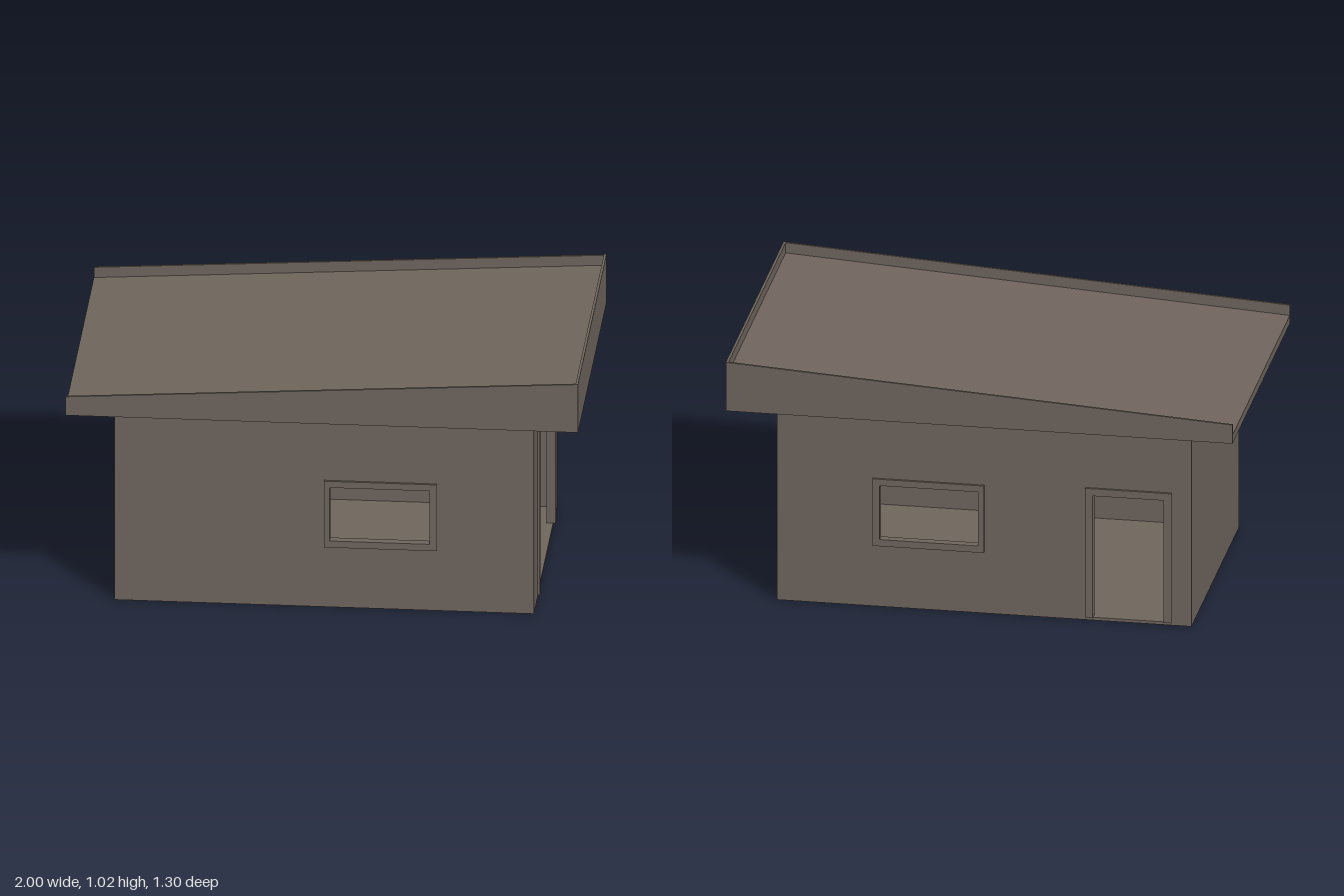
import * as THREE from 'three';

const T = 0.025;            // wall thickness
const X = 0.818, Z = 0.532; // half size of the walls
const H = 0.822;            // wall height
const LIP = 0.01;           // how far frames stand out from the walls

const taupe = new THREE.MeshStandardMaterial({ color: 0x70665e });
taupe.name = 'taupe';

const rect = (x0, y0, x1, y1) => [[x0, y0], [x1, y0], [x1, y1], [x0, y1]];
const poly = (pts, Kind = THREE.Shape) => new Kind(pts.map(p => new THREE.Vector2(...p)));

// Flat panel of the given outline, with holes, spanning z0..z0+depth
function slab(name, pts, holes, depth, z0) {
  const shape = poly(pts);
  holes.forEach(h => shape.holes.push(poly(h, THREE.Path)));
  const geo = new THREE.ExtrudeGeometry(shape, { depth, bevelEnabled: false });
  geo.translate(0, 0, z0);
  const mesh = new THREE.Mesh(geo, taupe);
  mesh.name = name;
  return mesh;
}

// Same, but standing across x: the outline is drawn in (-z, y), depth runs along x
function sideSlab(name, pts, holes, depth, x0) {
  const mesh = slab(name, pts, holes, depth, x0);
  mesh.geometry.rotateY(Math.PI / 2);
  return mesh;
}

function box(name, x0, y0, z0, x1, y1, z1) {
  const geo = new THREE.BoxGeometry(x1 - x0, y1 - y0, z1 - z0);
  geo.translate((x0 + x1) / 2, (y0 + y1) / 2, (z0 + z1) / 2);
  const mesh = new THREE.Mesh(geo, taupe);
  mesh.name = name;
  return mesh;
}

// Door surround without a sill: outer rectangle with posts and a head
const surround = (x0, y0, x1, y1, post, head) => [
  [x0, y0], [x0 + post, y0], [x0 + post, y1 - head], [x1 - post, y1 - head],
  [x1 - post, y0], [x1, y0], [x1, y1], [x0, y1],
];

export function createModel() {
  const group = new THREE.Group();
  group.name = 'garage';

  const windowOuter = rect(0, 0.255, 0.44, 0.535);
  const windowInner = rect(0.022, 0.283, 0.412, 0.508);
  const doorOuter = [-0.74, 0.012, -0.40, 0.553];
  const gateOuter = [-0.372, 0.012, 0.368, 0.808];

  // Floor and walls
  group.add(box('floor', -X + T, 0, -Z + T, X - T, 0.01, Z - T));
  const longWall = rect(-X, 0, X, H);
  group.add(slab('frontWall', longWall, [windowOuter], T, Z - T));
  group.add(slab('backWall', longWall, [windowOuter, rect(...doorOuter)], T, -Z));
  const endWall = rect(-Z + T, 0, Z - T, H);
  group.add(sideSlab('gateWall', endWall, [rect(...gateOuter)], T, X - T));
  group.add(sideSlab('plainWall', endWall, [], T, -X));

  // Frames run through the walls and stand out a little
  const frameDepth = T + LIP;
  group.add(slab('frontWindowFrame', windowOuter, [windowInner], frameDepth, Z - T));
  group.add(slab('backWindowFrame', windowOuter, [windowInner], frameDepth, -Z - LIP));
  group.add(slab('doorFrame', surround(...doorOuter, 0.03, 0.03), [], frameDepth, -Z - LIP));
  group.add(sideSlab('gateFrame', surround(...gateOuter, 0.028, 0.053), [], frameDepth, X - T));

  // Door leaf standing open into the room, with three sunken panels on each face
  const leaf = new THREE.Group();
  leaf.name = 'doorLeaf';
  const panels = [[0.055, 0.16], [0.2, 0.345], [0.385, 0.49]].map(([a, b]) => rect(0.265, a, 0.49, b));
  leaf.add(sideSlab('doorRails', rect(0.24, 0.02, 0.515, 0.522), panels, 0.02, -0.73));
  leaf.add(box('doorPanels', -0.724, 0.04, -0.5, -0.716, 0.5, -0.255));
  group.add(leaf);

  // Sloping roof with a flat soffit, edged on three sides by a thin raised rim
  const RZ = 0.648, RIM = 0.01, DROP = 0.043, LOW = 0.9, HIGH = 1.025;
  group.add(slab('roof', [[-1, H], [1 - RIM, H], [1 - RIM, HIGH - DROP], [-1, LOW - DROP]],
    [], 2 * (RZ - RIM), -RZ + RIM));
  const rimSide = [[-1, H], [1, H], [1, HIGH], [-1, LOW]];
  for (const [name, z] of [['frontRim', RZ - RIM], ['backRim', -RZ]]) {
    group.add(slab(name, rimSide, [], RIM, z));
  }
  group.add(box('highRim', 1 - RIM, H, -RZ + RIM, 1, HIGH, RZ - RIM));

  return group;
}
